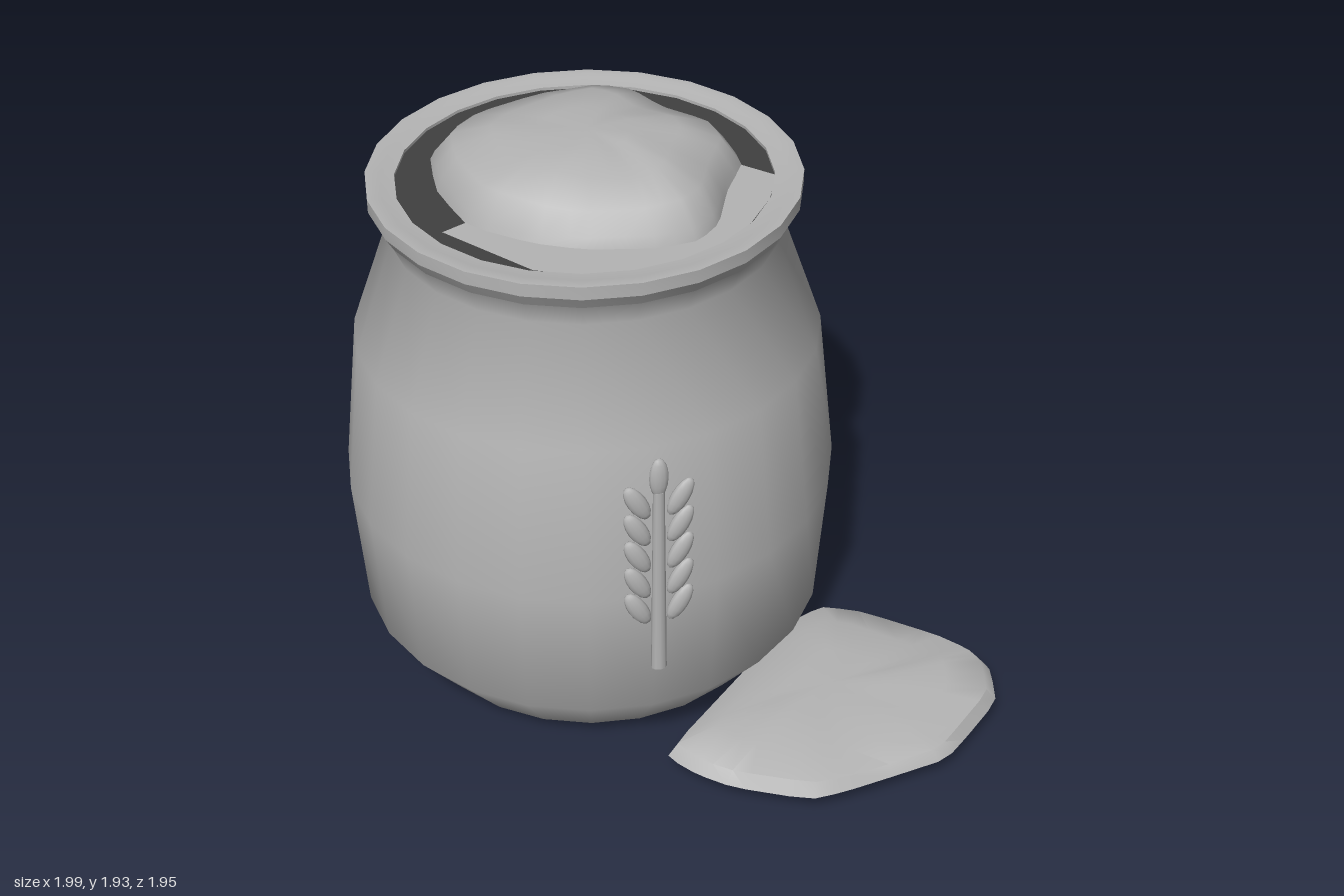
import * as THREE from 'three';
import { toCreasedNormals } from 'three/addons/utils/BufferGeometryUtils.js';

const mat = (name, color) => {
  const m = new THREE.MeshStandardMaterial({ color });
  m.name = name;
  return m;
};

// Stacks scaled copies of a closed outline ([x, z] points); levels are [scale, y], bottom to top.
// The first and last levels are closed with a centre point.
function mound(outline, cx, cz, levels, bump, crease) {
  const curve = new THREE.CatmullRomCurve3(
    outline.map(([x, z]) => new THREE.Vector3(x - cx, 0, z - cz)), true, 'catmullrom', 0.2);
  const n = 36, pos = [], idx = [];
  const ring = curve.getPoints(n).slice(0, n);
  levels.forEach(([s, y], k) => ring.forEach((p, i) => {
    const a = (i / n) * Math.PI * 2;
    const lift = bump * (Math.sin(3 * a + k) + 0.6 * Math.sin(5 * a + 2 * k)) * Math.min(s, 0.6);
    pos.push(cx + p.x * s, y + lift, cz + p.z * s);
  }));
  for (let k = 0; k < levels.length - 1; k++) {
    for (let i = 0; i < n; i++) {
      const a = k * n + i, b = k * n + (i + 1) % n;
      idx.push(a, a + n, b, b, a + n, b + n);
    }
  }
  const low = pos.length / 3, high = low + 1, top = (levels.length - 1) * n;
  pos.push(cx, levels[0][1], cz, cx, levels[levels.length - 1][1], cz);
  for (let i = 0; i < n; i++) {
    const j = (i + 1) % n;
    idx.push(low, i, j, high, top + j, top + i);
  }
  const g = new THREE.BufferGeometry();
  g.setAttribute('position', new THREE.Float32BufferAttribute(pos, 3));
  g.setIndex(idx);
  // Outlines must run clockwise from above's opposite sense; flip if the top faces down
  const area = ring.reduce((t, p, i) => {
    const q = ring[(i + 1) % n];
    return t + p.x * q.z - q.x * p.z;
  }, 0);
  if (area < 0) {
    for (let i = 0; i < idx.length; i += 3) [idx[i + 1], idx[i + 2]] = [idx[i + 2], idx[i + 1]];
    g.setIndex(idx);
  }
  g.computeVertexNormals();
  return toCreasedNormals(g, crease);
}

export function createModel() {
  const model = new THREE.Group();
  const grey = mat('stone grey', 0xb4b4b4);
  const dark = mat('dark interior', 0x404040);
  const add = (name, geometry, material, parent = model) => {
    const m = new THREE.Mesh(geometry, material);
    m.name = name;
    parent.add(m);
    return m;
  };
  const lathe = (pts, crease) => toCreasedNormals(
    new THREE.LatheGeometry(pts.map(([r, y]) => new THREE.Vector2(r, y)), 24), crease);

  // Jar: bulging body, stepped rim and recessed mouth
  const jar = new THREE.Group();
  jar.name = 'jar';
  jar.position.set(-0.195, 0, -0.17);
  model.add(jar);
  add('jarBody', lathe([[0.61, 0.06], [0.77, 0.26], [0.803, 0.73], [0.745, 1.25],
    [0.615, 1.62], [0.65, 1.7]], 0.8), grey, jar);
  const base = add('jarBase', new THREE.CircleGeometry(0.61, 24), grey, jar);
  base.rotation.x = Math.PI / 2;
  base.position.y = 0.06;
  add('rim', lathe([[0.6, 1.7], [0.65, 1.7], [0.675, 1.742], [0.675, 1.785],
    [0.65, 1.785], [0.63, 1.78], [0.585, 1.775], [0.585, 1.7]], 0.4), grey, jar);
  const mouth = add('mouth', new THREE.CircleGeometry(0.59, 24), dark, jar);
  mouth.rotation.x = -Math.PI / 2;
  mouth.position.y = 1.765;

  // Flat front part of the filling, lying just above the mouth
  const spread = new THREE.Shape();
  [[-0.49, -0.22], [-0.28, -0.5], [-0.15, -0.565], [0, -0.585], [0.15, -0.565], [0.29, -0.505],
    [0.41, -0.41], [0.505, -0.29], [0.565, -0.16], [0.48, -0.07], [0, 0]]
    .forEach(([x, y], i) => (i ? spread.lineTo(x, y) : spread.moveTo(x, y)));
  const flat = add('fillingSpread', new THREE.ShapeGeometry(spread), grey, jar);
  flat.rotation.x = -Math.PI / 2;
  flat.position.y = 1.77;

  // Heaped filling
  add('filling', mound([[-0.65, -0.2], [-0.63, -0.4], [-0.5, -0.52], [-0.25, -0.61], [-0.05, -0.61],
    [0.07, -0.52], [0.14, -0.39], [0.28, -0.25], [0.29, -0.1], [0.2, 0.05], [0.12, 0.22],
    [0.03, 0.3], [-0.1, 0.31], [-0.3, 0.26], [-0.45, 0.18], [-0.6, 0.04]],
  -0.19, -0.16, [[1, 1.765], [0.97, 1.8], [0.86, 1.872], [0.6, 1.915], [0.3, 1.935]],
  0.01, 1.2), grey);

  // Flat lump lying beside the jar
  add('lump', mound([[-0.16, 0.66], [-0.1, 0.76], [0, 0.85], [0.22, 0.97], [0.36, 0.97], [0.68, 0.92],
    [0.8, 0.83], [0.95, 0.7], [0.99, 0.55], [0.97, 0.48], [0.88, 0.36], [0.68, 0.17], [0.55, 0.11],
    [0.42, 0.16], [0.2, 0.34], [-0.03, 0.54]],
  0.42, 0.55, [[0.25, 0.008], [0.6, 0.025], [0.9, 0.055], [1, 0.085], [0.94, 0.125], [0.7, 0.152],
    [0.35, 0.163]], 0.006, 0.7), grey);

  // Wheat ear on the jar front
  const wheat = new THREE.Group();
  wheat.name = 'wheatEar';
  wheat.position.set(-0.19, 0, 0.655);
  model.add(wheat);
  const stem = add('stem', new THREE.CylinderGeometry(0.018, 0.025, 0.68, 10), grey, wheat);
  stem.position.y = 0.81;
  stem.scale.z = 0.8;
  const grainShape = new THREE.SphereGeometry(1, 12, 8);
  const grain = (x, y, tilt) => {
    const g = add('grain', grainShape, grey, wheat);
    g.position.set(x, y, 0);
    g.rotation.z = tilt;
    g.scale.set(0.03, 0.07, 0.018);
  };
  grain(0, 1.2, 0);
  for (let i = 0; i < 5; i++) {
    for (const side of [-1, 1]) grain(side * 0.067, 0.715 + i * 0.101, -side * 0.5);
  }
  return model;
}
